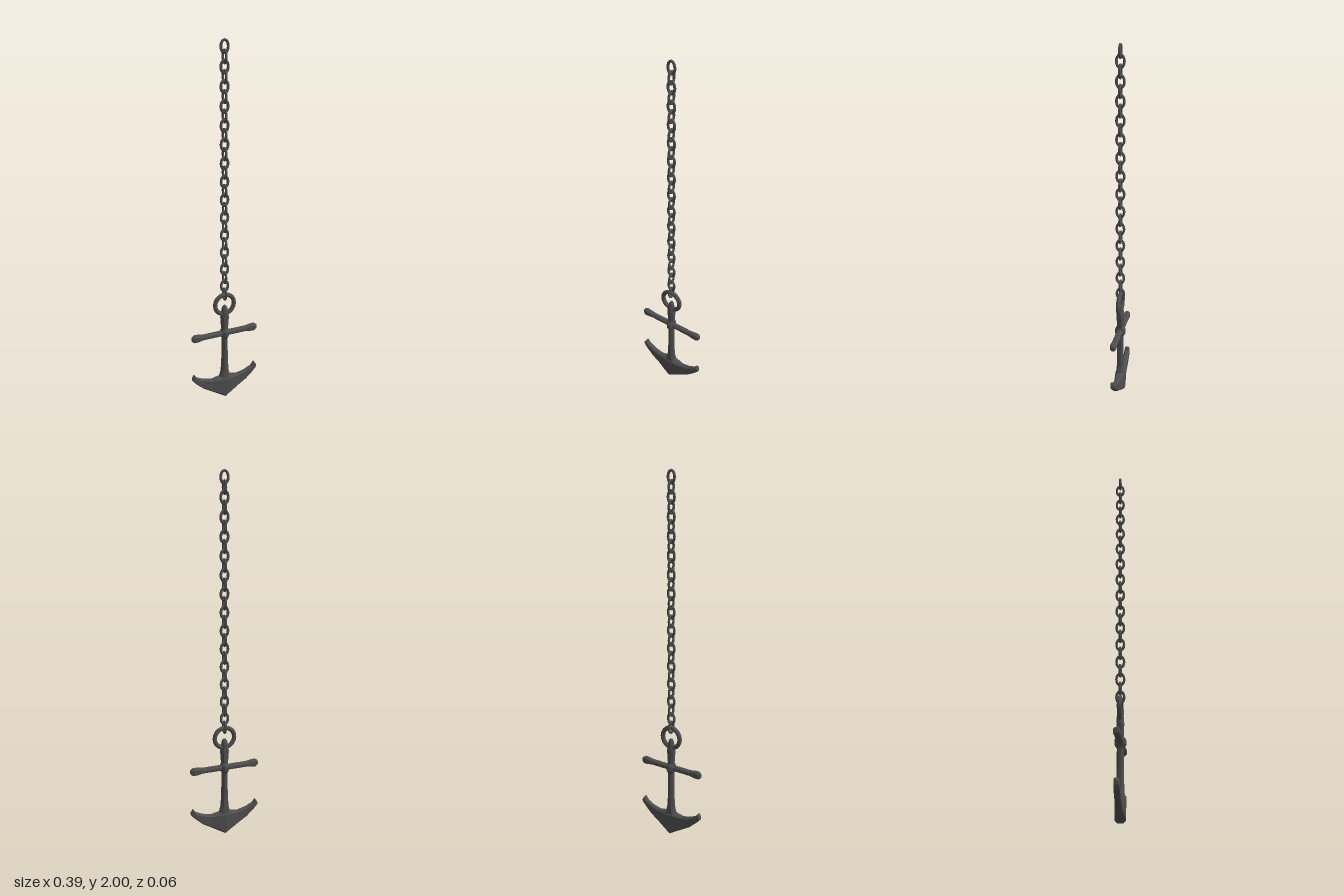
import * as THREE from 'three';

const iron = new THREE.MeshStandardMaterial({ color: 0x4e4e4e, flatShading: true });
iron.name = 'dark iron';

// Eight-sided outline with cut corners, half sizes a and b
function octagon(a, b, cut) {
  const c = cut * Math.min(a, b);
  return [[a, -b + c], [a, b - c], [a - c, b], [-a + c, b],
    [-a, b - c], [-a, -b + c], [-a + c, -b], [a - c, -b]];
}

// Skins a list of equal rings of points and caps both ends
function loft(rings) {
  const n = rings[0].length, index = [];
  for (let i = 0; i < rings.length - 1; i++) {
    for (let j = 0; j < n; j++) {
      const a = i * n + j, b = i * n + (j + 1) % n;
      index.push(a, b, a + n, b, b + n, a + n);
    }
  }
  const last = (rings.length - 1) * n;
  for (let j = 1; j < n - 1; j++) {
    index.push(0, j + 1, j, last, last + j, last + j + 1);
  }
  const geometry = new THREE.BufferGeometry();
  geometry.setAttribute('position', new THREE.Float32BufferAttribute(rings.flat(2), 3));
  geometry.setIndex(index);
  geometry.computeVertexNormals();
  return geometry;
}

// Sections across x: [x, bottom, top, half depth]
const loftX = (sections, cut) => loft(sections.map(([x, lo, hi, d]) =>
  octagon((hi - lo) / 2, d, cut).map(([y, z]) => [x, y + (lo + hi) / 2, z])));

// Sections across y: [y, half width, half depth]
const loftY = (sections, cut) => loft(sections.map(([y, w, d]) =>
  octagon(d, w, cut).map(([z, x]) => [x, y, z])));

// Mirrors half a list of x sections to the other side
const mirrorX = (half) => [
  ...half.slice(1).reverse().map(([x, ...rest]) => [-x, ...rest]), ...half];

export function createModel() {
  const model = new THREE.Group();
  model.name = 'anchorAndChain';
  const add = (name, geometry) => {
    const mesh = new THREE.Mesh(geometry, iron);
    mesh.name = name;
    model.add(mesh);
    return mesh;
  };

  // Curved arms meeting in a pointed crown
  add('arms', loftX(mirrorX([
    [0, 0.003, 0.135, 0.028],
    [0.035, 0.024, 0.132, 0.024],
    [0.08, 0.05, 0.126, 0.016],
    [0.13, 0.08, 0.138, 0.015],
    [0.17, 0.115, 0.157, 0.015],
    [0.186, 0.131, 0.178, 0.014],
    [0.197, 0.143, 0.162, 0.011],
  ]), 0.5));

  // Shank with flared foot, collar at the stock and narrow head
  add('shank', loftY([
    [0.1, 0.05, 0.024],
    [0.135, 0.03, 0.021],
    [0.17, 0.021, 0.019],
    [0.25, 0.017, 0.017],
    [0.37, 0.015, 0.017],
    [0.388, 0.02, 0.029],
    [0.414, 0.02, 0.029],
    [0.43, 0.018, 0.018],
    [0.5, 0.023, 0.019],
    [0.53, 0.018, 0.018],
    [0.558, 0.014, 0.013],
    [0.57, 0.007, 0.008],
  ], 0.58));

  // Cross bar with swollen ends
  add('stock', loftX(mirrorX([
    [0, 0.386, 0.418, 0.017],
    [0.03, 0.388, 0.416, 0.016],
    [0.13, 0.388, 0.416, 0.016],
    [0.16, 0.382, 0.422, 0.016],
    [0.184, 0.381, 0.423, 0.016],
    [0.197, 0.389, 0.415, 0.01],
  ]), 0.55));

  // Ring through the head
  add('ring', new THREE.TorusGeometry(0.057, 0.0125, 8, 20)).position.y = 0.577;

  // Chain of oval links, each turned a quarter from the next
  const oval = [];
  for (let i = 0; i < 12; i++) {
    const a = i / 12 * Math.PI * 2;
    oval.push(new THREE.Vector3(0.02 * Math.cos(a), 0.032 * Math.sin(a), 0));
  }
  const link = new THREE.TubeGeometry(new THREE.CatmullRomCurve3(oval, true), 16, 0.007, 6, true);
  const count = 28, top = 1.961, bottom = 0.638;
  for (let i = 0; i < count; i++) {
    const mesh = add('chainLink', link);
    mesh.position.y = top + (bottom - top) * i / (count - 1);
    mesh.rotation.y = (i % 2) * Math.PI / 2;
  }
  return model;
}
